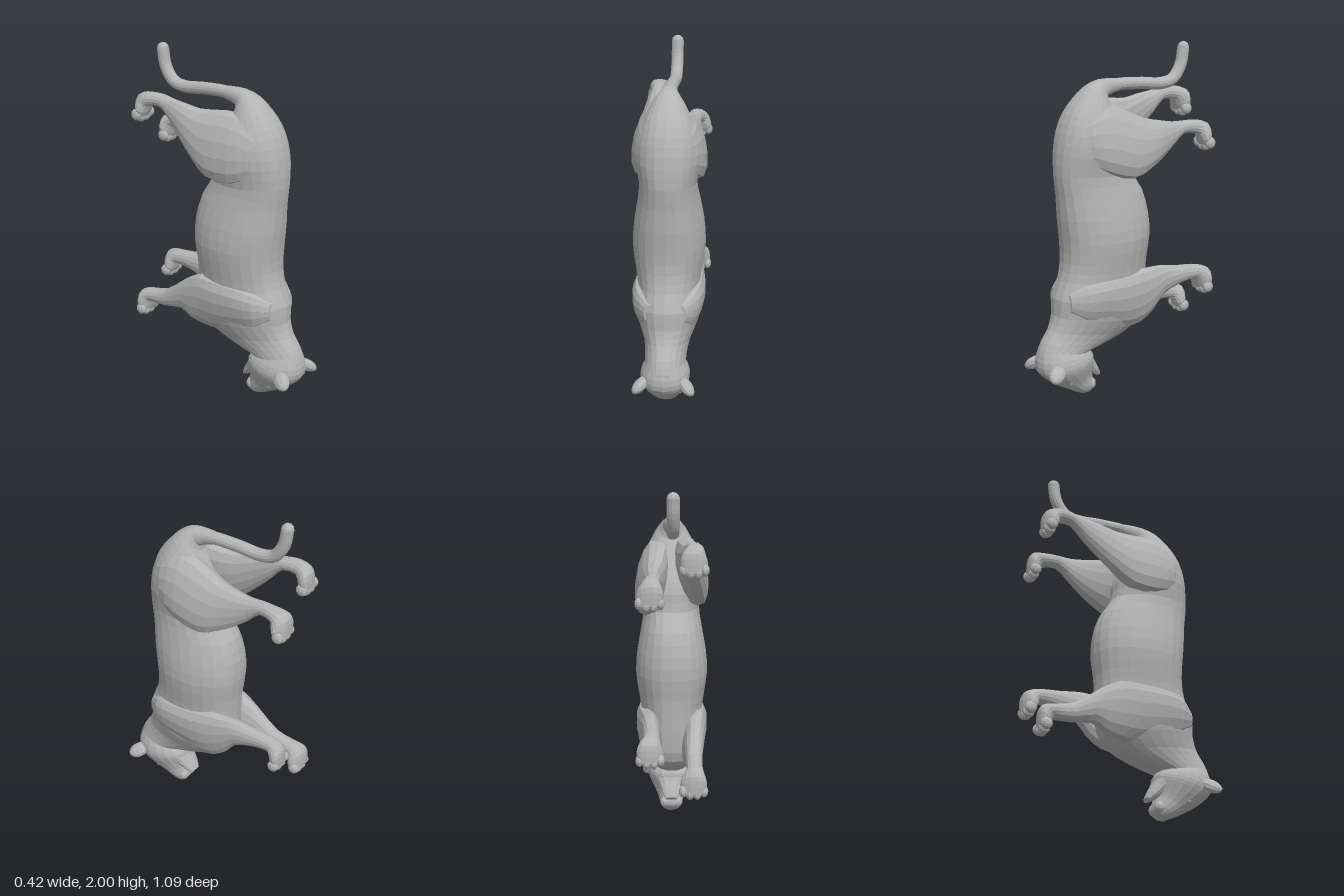
import * as THREE from 'three';

const grey = new THREE.MeshStandardMaterial({ color: 0xb4b4b4 });
grey.name = 'stone grey';

// Separate faces so that every facet is shaded flat
function facet(geo) {
  const flat = geo.index ? geo.toNonIndexed() : geo;
  flat.computeVertexNormals();
  return flat;
}

function add(parent, name, geo) {
  const mesh = new THREE.Mesh(facet(geo), grey);
  mesh.name = name;
  parent.add(mesh);
  return mesh;
}

// Skin over oval sections. Each section: [az, ay, bz, by, halfWidth, centreX],
// where a and b are the two opposite edge points in the side plane.
// Lean moves edge a sideways, and edge b the other way.
function loft(sections, sides = 18, lean = 0) {
  const curve = (f) => new THREE.CatmullRomCurve3(sections.map(f), false, 'catmullrom', 0.5);
  const ca = curve((s) => new THREE.Vector3(s[4], s[1], s[0]));
  const cb = curve((s) => new THREE.Vector3(s[5] || 0, s[3], s[2]));
  const rows = (sections.length - 1) * 2;
  const pos = [];
  const idx = [];
  const centres = [];
  for (let i = 0; i <= rows; i++) {
    const a = ca.getPoint(i / rows);
    const b = cb.getPoint(i / rows);
    const cy = (a.y + b.y) / 2;
    const cz = (a.z + b.z) / 2;
    const tilt = lean * Math.max(0, a.x - 0.045) * 2;
    centres.push([b.x, cy, cz]);
    for (let j = 0; j < sides; j++) {
      const t = (j / sides) * Math.PI * 2;
      const s = Math.sin(t);
      const w = Math.sign(s) * Math.pow(Math.abs(s), 0.85);
      const c = Math.cos(t);
      pos.push(b.x + a.x * w + tilt * c, cy + (a.y - cy) * c, cz + (a.z - cz) * c);
      if (i < rows) {
        const p = i * sides + j;
        const q = i * sides + ((j + 1) % sides);
        idx.push(p, q, p + sides, q, q + sides, p + sides);
      }
    }
  }
  // end caps
  const n = pos.length / 3;
  pos.push(...centres[0], ...centres[rows]);
  for (let j = 0; j < sides; j++) {
    const k = (j + 1) % sides;
    idx.push(n, k, j, n + 1, rows * sides + j, rows * sides + k);
  }
  // turn the faces outwards if the enclosed volume comes out negative
  const v = (i) => new THREE.Vector3().fromArray(pos, i * 3);
  let volume = 0;
  for (let i = 0; i < idx.length; i += 3) {
    volume += v(idx[i]).dot(v(idx[i + 1]).cross(v(idx[i + 2])));
  }
  if (volume < 0) idx.reverse();
  const geo = new THREE.BufferGeometry();
  geo.setAttribute('position', new THREE.Float32BufferAttribute(pos, 3));
  geo.setIndex(idx);
  return geo;
}

function blob(parent, name, x, y, z, rx, ry, rz) {
  const geo = new THREE.SphereGeometry(1, 10, 8).scale(rx, ry, rz).translate(x, y, z);
  return add(parent, name, geo);
}

// Leg with paw and toes; swing moves the foot along the body, bending from depth bendZ
function addLeg(parent, name, upper, side, swing, bendZ, lean) {
  const leg = new THREE.Group();
  leg.name = name;
  const ankle = upper[upper.length - 1];
  const top = ankle[1];
  const x = ankle[5] + side * 0.008;
  const paw = [
    [-0.525, top - 0.02, -0.455, top - 0.09, 0.06, x],
    [-0.545, top - 0.07, -0.465, top - 0.12, 0.07, x],
    [-0.545, top - 0.14, -0.478, top - 0.145, 0.062, x],
  ];
  const shift = (z) => swing * THREE.MathUtils.smoothstep(-z, -bendZ, 0.42);
  const sections = [...upper, ...paw].map(([az, ay, bz, by, w, cx]) =>
    [az, ay + shift(az), bz, by + shift(bz), w, cx * side]);
  add(leg, name + 'Limb', loft(sections, 14, lean * side));
  [-0.056, -0.02, 0.02, 0.056].forEach((dx, i) => {
    const y = top + swing - (i === 1 || i === 2 ? 0.148 : 0.134);
    blob(leg, 'toe', x * side + dx, y, -0.511, 0.024, 0.034, 0.034);
  });
  parent.add(leg);
}

export function createModel() {
  const cat = new THREE.Group();
  cat.name = 'bigCat';

  // Torso from tail root to neck
  add(cat, 'torso', loft([
    [0.02, 1.816, 0.0, 1.745, 0.036], [0.13, 1.815, 0.09, 1.715, 0.05],
    [0.215, 1.78, 0.07, 1.65, 0.09], [0.285, 1.715, 0.03, 1.58, 0.128],
    [0.345, 1.635, 0.0, 1.52, 0.158], [0.385, 1.535, -0.03, 1.46, 0.178],
    [0.405, 1.42, -0.05, 1.39, 0.18], [0.41, 1.3, -0.06, 1.29, 0.16],
    [0.395, 1.18, -0.13, 1.18, 0.175], [0.385, 1.05, -0.165, 1.05, 0.198],
    [0.37, 0.92, -0.17, 0.92, 0.207], [0.368, 0.8, -0.155, 0.8, 0.192],
    [0.39, 0.7, -0.15, 0.68, 0.178], [0.43, 0.6, -0.145, 0.55, 0.188],
    [0.435, 0.5, -0.12, 0.43, 0.168], [0.465, 0.42, -0.02, 0.35, 0.132],
    [0.51, 0.355, 0.12, 0.3, 0.117], [0.538, 0.28, 0.22, 0.28, 0.115],
    [0.54, 0.22, 0.25, 0.25, 0.11],
  ], 24));

  // Head and open mouth
  const head = new THREE.Group();
  head.name = 'head';
  cat.add(head);
  add(head, 'skull', loft([
    [0.52, 0.33, 0.27, 0.31, 0.1], [0.545, 0.25, 0.23, 0.285, 0.13],
    [0.54, 0.185, 0.205, 0.255, 0.14], [0.5, 0.14, 0.2, 0.225, 0.13],
    [0.43, 0.09, 0.205, 0.18, 0.104], [0.37, 0.056, 0.205, 0.135, 0.082],
    [0.3, 0.022, 0.195, 0.095, 0.068], [0.25, 0.006, 0.19, 0.06, 0.048],
    [0.225, 0.016, 0.2, 0.042, 0.028],
  ], 18));
  add(head, 'lowerJaw', loft([
    [0.3, 0.17, 0.22, 0.27, 0.1], [0.245, 0.14, 0.19, 0.205, 0.072],
    [0.2, 0.115, 0.163, 0.158, 0.055], [0.167, 0.098, 0.146, 0.12, 0.036],
  ], 12));
  blob(head, 'nose', 0, 0.018, 0.253, 0.026, 0.015, 0.025);
  for (const side of [-1, 1]) {
    blob(head, 'muzzlePad', side * 0.034, 0.068, 0.22, 0.034, 0.036, 0.032);
    blob(head, 'eye', side * 0.079, 0.112, 0.375, 0.014, 0.013, 0.016);
    // broad rounded ear swept outwards and back
    const ear = blob(head, 'ear', 0, 0, 0, 0.046, 0.066, 0.034);
    ear.position.set(side * 0.128, 0.2, 0.492);
    ear.quaternion.setFromUnitVectors(
      new THREE.Vector3(0, 1, 0),
      new THREE.Vector3(side * 0.52, -0.45, 0.72).normalize());
  }

  // Hind legs, one swung further back
  const hind = [
    [0.36, 1.55, 0.36, 1.43, 0.03, 0.07], [0.27, 1.64, 0.27, 1.36, 0.065, 0.105],
    [0.15, 1.69, 0.15, 1.3, 0.09, 0.11],
    [0.0, 1.64, 0.0, 1.265, 0.086, 0.115], [-0.1, 1.595, -0.1, 1.3, 0.073, 0.117],
    [-0.2, 1.575, -0.2, 1.355, 0.056, 0.115], [-0.29, 1.56, -0.29, 1.42, 0.045, 0.107],
    [-0.365, 1.56, -0.365, 1.485, 0.04, 0.107], [-0.45, 1.56, -0.44, 1.48, 0.046, 0.117],
  ];
  addLeg(cat, 'leftHindLeg', hind, 1, 0, 0.25, -0.4);
  addLeg(cat, 'rightHindLeg', hind, -1, 0.175, 0.25, -0.4);

  // Forelegs, one reaching further ahead
  const fore = [
    [0.39, 0.64, 0.39, 0.53, 0.04, 0.08], [0.31, 0.69, 0.31, 0.46, 0.07, 0.108],
    [0.2, 0.715, 0.2, 0.42, 0.085, 0.113],
    [0.05, 0.725, 0.05, 0.385, 0.086, 0.113], [-0.06, 0.735, -0.06, 0.4, 0.073, 0.118],
    [-0.15, 0.735, -0.15, 0.465, 0.061, 0.121], [-0.22, 0.73, -0.22, 0.55, 0.053, 0.121],
    [-0.34, 0.71, -0.34, 0.6, 0.046, 0.118], [-0.45, 0.7, -0.44, 0.615, 0.047, 0.118],
  ];
  addLeg(cat, 'leftForeleg', fore, 1, 0, 0, 0.4);
  addLeg(cat, 'rightForeleg', fore, -1, -0.175, 0, 0.4);

  // Tail with upturned tip
  const path = new THREE.CatmullRomCurve3([
    [0.1, 1.765], [0, 1.78], [-0.15, 1.777], [-0.29, 1.768],
    [-0.37, 1.79], [-0.425, 1.87], [-0.443, 1.965],
  ].map(([z, y]) => new THREE.Vector3(0, y, z)));
  add(cat, 'tail', new THREE.TubeGeometry(path, 28, 0.035, 14));
  blob(cat, 'tailTip', 0, 1.965, -0.443, 0.035, 0.035, 0.035);

  return cat;
}
